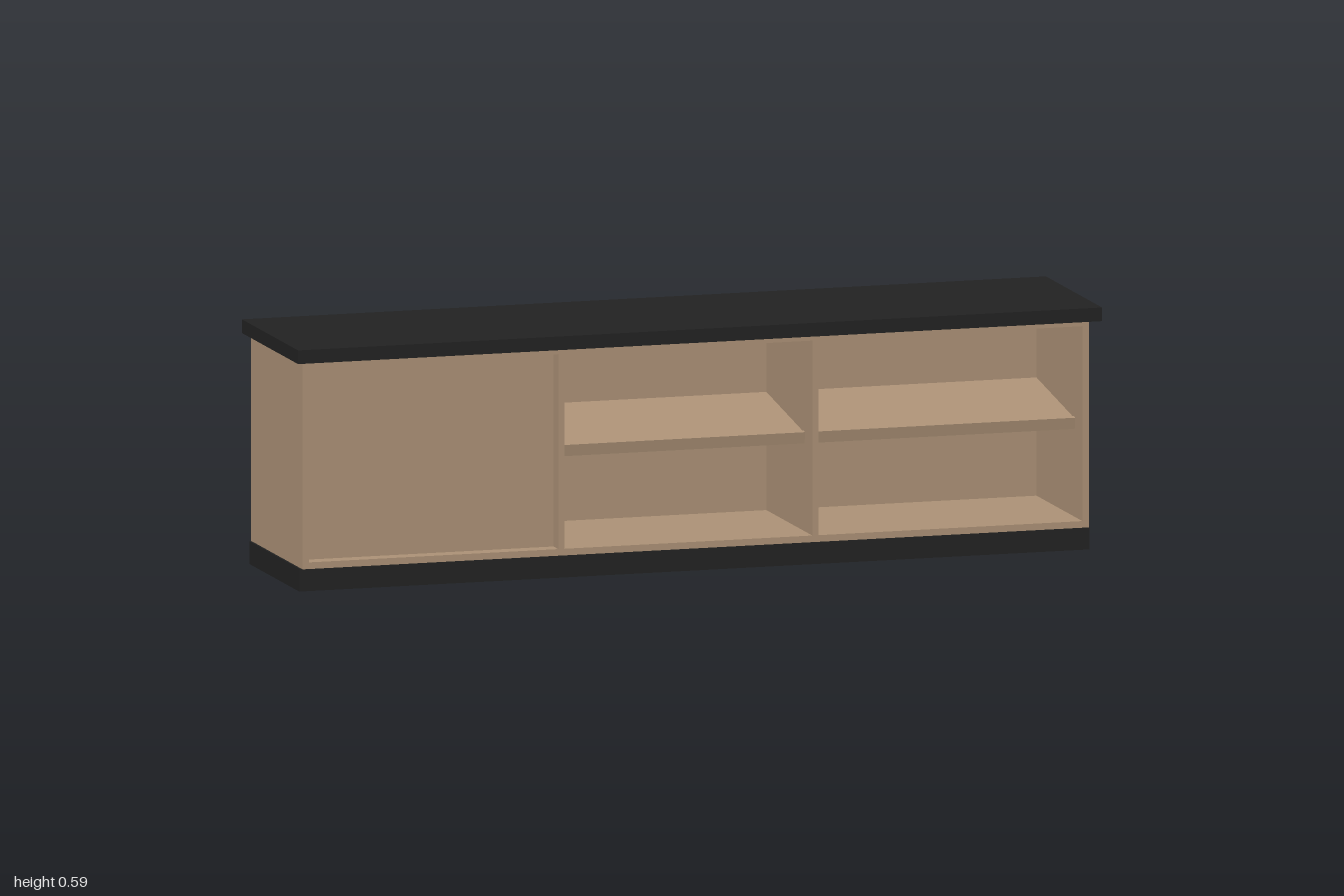
import * as THREE from 'three';

export function createModel() {
  const model = new THREE.Group();
  model.name = 'sideboard';

  const wood = new THREE.MeshStandardMaterial({ color: 0xad9277 });
  wood.name = 'tan wood';
  const black = new THREE.MeshStandardMaterial({ color: 0x222222 });
  black.name = 'matt black';

  // Box given by its extents along each axis
  function box(name, material, [x0, x1], [y0, y1], [z0, z1], parent = model) {
    const mesh = new THREE.Mesh(new THREE.BoxGeometry(x1 - x0, y1 - y0, z1 - z0), material);
    mesh.position.set((x0 + x1) / 2, (y0 + y1) / 2, (z0 + z1) / 2);
    mesh.name = name;
    parent.add(mesh);
    return mesh;
  }

  const T = 0.016;               // board thickness
  const bottom = 0.055, top = 0.557;
  const depth = [-0.225, 0.19];

  // Worktop and plinth
  box('worktop', black, [-1, 1], [top, 0.59], [-0.225, 0.225]);
  box('plinth', black, [-0.983, 0.983], [0, bottom], [-0.221, 0.18]);

  // Upright boards: two ends and two dividers
  const uprights = [-0.978, -0.342, 0.29, 0.962];
  uprights.forEach((x, i) => {
    const name = i === 0 || i === 3 ? 'sidePanel' : 'divider';
    box(name, wood, [x, x + T], [bottom, top], depth);
  });

  // Boards and shelf of each bay
  for (let i = 0; i < 3; i++) {
    const span = [uprights[i] + T, uprights[i + 1]];
    box('floorBoard', wood, span, [bottom, bottom + T], depth);
    box('ceilingBoard', wood, span, [top - T, top], depth);
    box('backPanel', wood, span, [bottom + T, top - T], [-0.19, -0.178]);

    // Shelf sloping down to the front, with a retaining lip
    const shelf = new THREE.Group();
    shelf.name = 'slopingShelf';
    shelf.position.set(0, 0.308, 0.13);
    shelf.rotation.x = 0.155;
    box('shelfBoard', wood, span, [-T, 0], [-0.314, -0.01], shelf);
    box('shelfLip', wood, span, [-0.025, 0.003], [-0.01, 0.002], shelf);
    model.add(shelf);
  }

  // Inset front panel closing the first bay
  box('frontPanel', wood, [uprights[0] + T, uprights[1]], [bottom + T, top - T], [0.138, 0.152]);

  return model;
}
